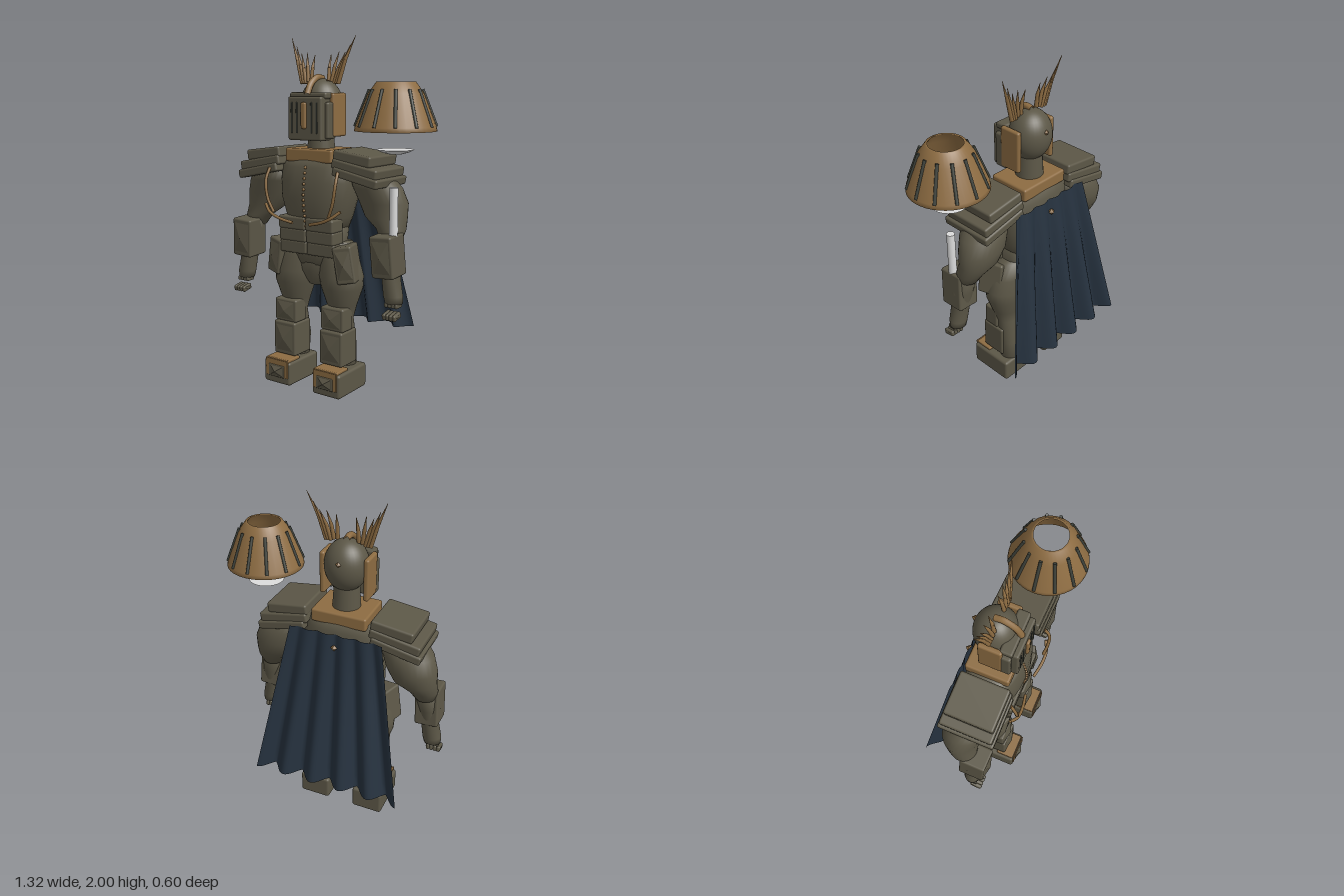
import * as THREE from 'three';
import { RoundedBoxGeometry } from 'three/addons/geometries/RoundedBoxGeometry.js';

const mat = (name, color, double) => {
  const m = new THREE.MeshStandardMaterial({ color });
  m.name = name;
  if (double) m.side = THREE.DoubleSide;
  return m;
};
const V = (x, y, z) => new THREE.Vector3(x, y, z);

// Closed skin through elliptical rings [y, cx, cz, rx, rz], listed bottom to top; e < 1 squares the section
function loft(rings, e = 1, n = 28) {
  const pos = [], idx = [];
  const pw = v => Math.sign(v) * Math.abs(v) ** e;
  for (const [y, cx, cz, rx, rz] of rings)
    for (let j = 0; j < n; j++) {
      const a = j / n * Math.PI * 2;
      pos.push(cx + rx * pw(Math.cos(a)), y, cz + rz * pw(Math.sin(a)));
    }
  const last = rings.length - 1, cb = rings.length * n, ct = cb + 1;
  for (const [y, cx, cz] of [rings[0], rings[last]]) pos.push(cx, y, cz);
  for (let j = 0; j < n; j++) {
    const k = (j + 1) % n;
    for (let i = 0; i < last; i++) {
      const a = i * n + j, b = i * n + k;
      idx.push(a, a + n, b, b, a + n, b + n);
    }
    idx.push(cb, j, k, ct, last * n + k, last * n + j);
  }
  const g = new THREE.BufferGeometry();
  g.setAttribute('position', new THREE.Float32BufferAttribute(pos, 3));
  g.setIndex(idx);
  g.computeVertexNormals();
  return g;
}

export function createModel() {
  const steel = mat('olive steel', 0x5c5747), gold = mat('old gold', 0x8d6c42, true);
  const cloth = mat('navy cloth', 0x26323f, true), dark = mat('dark iron', 0x3b3f38);
  const white = mat('pale white', 0xdcdcdc, true);
  const model = new THREE.Group(), body = new THREE.Group();
  body.name = 'body';
  body.position.x = -0.085;
  model.add(body);

  const add = (name, geo, m, p = [0, 0, 0], r = [0, 0, 0], parent = body) => {
    const o = new THREE.Mesh(geo, m);
    o.name = name;
    o.position.set(...p);
    o.rotation.set(...r);
    parent.add(o);
    return o;
  };
  const box = (name, m, size, p, r, rad = 0.012) =>
    add(name, new RoundedBoxGeometry(...size, 2, Math.min(rad, Math.min(...size) * 0.45)), m, p, r);
  // Straight round bar between two points
  const bar = (name, m, a, b, r0, r1 = r0, parent = body) => {
    const d = b.clone().sub(a);
    const o = add(name, new THREE.CylinderGeometry(r1, r0, d.length(), 10), m, a.clone().add(b).multiplyScalar(0.5).toArray(), [0, 0, 0], parent);
    o.quaternion.setFromUnitVectors(V(0, 1, 0), d.normalize());
  };
  const tube = (name, m, pts, r) =>
    add(name, new THREE.TubeGeometry(new THREE.CatmullRomCurve3(pts.map(p => V(...p))), 16, r, 8), m);
  // Armour block with a low faceted point on its front
  const guard = (name, size, p, r) => {
    const o = box(name, steel, size, p, r);
    const c = new THREE.ConeGeometry(Math.SQRT1_2, 0.02, 4, 1, true).toNonIndexed();
    c.rotateY(Math.PI / 4).rotateX(Math.PI / 2).scale(size[0] * 0.85, size[1] * 0.85, 1);
    c.computeVertexNormals();
    add(name + 'Point', c, steel, [0, 0, size[2] / 2 + 0.008], [0, 0, 0], o);
  };

  // Torso
  add('chest', loft([[0.92, 0, 0.03, 0.17, 0.12], [1.0, 0, 0.03, 0.2, 0.14], [1.1, 0, 0.03, 0.23, 0.155],
    [1.2, 0, 0.025, 0.24, 0.155], [1.28, 0, 0.02, 0.235, 0.145], [1.33, 0, 0.02, 0.2, 0.12]], 0.8), steel);
  add('waist', loft([[0.72, 0, 0.03, 0.13, 0.1], [0.8, 0, 0.04, 0.17, 0.11], [0.97, 0, 0.03, 0.18, 0.12]], 0.8), steel);
  for (const s of [-1, 1])
    for (let i = 0; i < 3; i++)
      box('bellyPlate', steel, [0.188, 0.075, 0.11], [s * 0.095, 0.822 + i * 0.07, 0.11 + i * 0.006]);
  for (let i = 0; i < 12; i++)
    add('chestStud', new THREE.SphereGeometry(0.009, 8, 6), gold, [0, 0.95 + i * 0.03, 0.165 + 0.022 * Math.sin(i / 11 * Math.PI)]);
  add('pelvis', loft([[0.6, 0, 0.04, 0.05, 0.06], [0.68, 0, 0.04, 0.13, 0.09], [0.82, 0, 0.04, 0.18, 0.1]]), steel);

  // Collar and neck
  box('collar', gold, [0.32, 0.075, 0.25], [0, 1.345, 0.02]);
  add('neck', new THREE.CylinderGeometry(0.07, 0.08, 0.16, 24), steel, [0, 1.44, 0.015]);

  // Helmet
  add('helmet', new THREE.SphereGeometry(1, 32, 24), steel, [0, 1.625, 0.01]).scale.set(0.122, 0.145, 0.118);
  tube('crest', gold, [[0, 1.77, 0.0], [0, 1.775, 0.05], [0, 1.74, 0.11], [0, 1.68, 0.145]], 0.018);
  box('facePlate', steel, [0.23, 0.24, 0.1], [0, 1.55, 0.125]);
  box('brow', steel, [0.25, 0.035, 0.07], [0, 1.675, 0.11]);
  box('noseGuard', gold, [0.034, 0.145, 0.024], [0, 1.567, 0.178]);
  add('helmetPin', new THREE.OctahedronGeometry(0.016), gold, [0, 1.67, -0.104]);
  add('capePin', new THREE.OctahedronGeometry(0.02), gold, [0, 1.2, -0.155]);

  for (const s of [-1, 1]) {
    box('earGuard', gold, [0.03, 0.24, 0.13], [s * 0.126, 1.57, 0.03]);
    box('cheek', steel, [0.03, 0.2, 0.08], [s * 0.122, 1.54, 0.1]);
    for (const x of [0.05, 0.085]) box('visorSlit', dark, [0.01, 0.17, 0.008], [s * x, 1.555, 0.176]);

    // Horn spikes: base x, base y, tip x, tip y
    for (const [bx, by, tx, ty] of [[0.125, 1.74, 0.22, 2.0], [0.112, 1.74, 0.185, 1.95], [0.097, 1.74, 0.15, 1.91],
      [0.08, 1.75, 0.11, 1.915], [0.06, 1.755, 0.055, 1.9]]) {
      const mid = V(s * (bx + (tx - bx) * 0.42), (by + ty) / 2, 0.015);
      bar('hornBase', gold, V(s * bx, by, 0.025), mid, 0.012, 0.01);
      bar('hornTip', gold, mid, V(s * tx, ty, -0.005), 0.01, 0.001);
    }

    // Curved chest trim
    tube('chestTrim', gold, [[s * 0.235, 1.27, 0.19], [s * 0.24, 1.2, 0.22], [s * 0.225, 1.1, 0.225], [s * 0.19, 1.02, 0.215]], 0.009);
    tube('lowerTrim', gold, [[s * 0.26, 1.06, 0.2], [s * 0.21, 1.02, 0.225], [s * 0.14, 0.99, 0.225], [s * 0.06, 0.97, 0.21]], 0.009);

    // Layered shoulder plates
    const tilt = -s * 0.13;
    box('shoulderPlate', steel, [0.24, 0.06, 0.28], [s * 0.305, 1.345, 0.03], [0, 0, tilt]);
    box('shoulderPlate', steel, [0.29, 0.055, 0.3], [s * 0.325, 1.29, 0.03], [0, 0, tilt * 1.4]);
    box('shoulderPlate', steel, [0.29, 0.05, 0.32], [s * 0.335, 1.245, 0.03], [0, 0, tilt * 1.6]);

    // Arm
    add('upperArm', loft([[0.9, s * 0.475, 0.03, 0.06, 0.06], [0.96, s * 0.465, 0.01, 0.085, 0.075], [1.02, s * 0.42, -0.01, 0.125, 0.095],
      [1.1, s * 0.4, -0.015, 0.145, 0.11], [1.18, s * 0.37, 0, 0.145, 0.115], [1.26, s * 0.33, 0.02, 0.12, 0.1]]), steel);
    add('forearm', loft([[0.57, s * 0.525, 0.075, 0.05, 0.045], [0.61, s * 0.52, 0.075, 0.055, 0.05], [0.7, s * 0.505, 0.07, 0.05, 0.055],
      [0.82, s * 0.495, 0.06, 0.065, 0.065], [0.93, s * 0.475, 0.04, 0.065, 0.065]]), steel);
    guard('forearmGuard', [0.135, 0.23, 0.15], [s * 0.49, 0.83, 0.085], [0.05, 0, s * 0.06]);
    for (let i = 0; i < 4; i++) {
      box('wristJoint', steel, [0.02, 0.025, 0.06], [s * (0.495 + i * 0.021), 0.56, 0.085], undefined, 0.008);
      box('finger', steel, [0.022, 0.035, 0.07], [s * (0.5 + i * 0.021), 0.507, 0.11], [0.2, 0, 0], 0.009);
    }
    box('knuckles', steel, [0.092, 0.016, 0.04], [s * 0.53, 0.508, 0.11], undefined, 0.006);

    // Leg
    add('leg', loft([[0.13, s * 0.17, 0.01, 0.06, 0.06], [0.26, s * 0.165, 0.01, 0.065, 0.065], [0.42, s * 0.165, 0.04, 0.065, 0.062],
      [0.5, s * 0.165, 0.045, 0.09, 0.08], [0.6, s * 0.165, 0.045, 0.125, 0.11], [0.67, s * 0.16, 0.045, 0.135, 0.112],
      [0.76, s * 0.145, 0.04, 0.12, 0.1], [0.86, s * 0.12, 0.035, 0.1, 0.085]]), steel);
    guard('hipPlate', [0.11, 0.21, 0.15], [s * 0.225, 0.75, 0.08], [0, s * 0.3, s * 0.16]);
    guard('kneeGuard', [0.155, 0.135, 0.1], [s * 0.165, 0.43, 0.1]);
    guard('shinGuard', [0.155, 0.2, 0.155], [s * 0.165, 0.262, 0.085]);

    // Boot with gold toe frame
    box('boot', steel, [0.19, 0.14, 0.28], [s * 0.175, 0.07, 0.085], undefined, 0.016);
    box('toeCap', gold, [0.16, 0.022, 0.11], [s * 0.172, 0.143, 0.165], undefined, 0.006);
    box('toeFrame', gold, [0.16, 0.105, 0.008], [s * 0.172, 0.097, 0.227], undefined, 0.003);
    guard('toePanel', [0.115, 0.075, 0.012], [s * 0.172, 0.08, 0.228]);
  }

  // Pleated cape: widens and deepens towards the hem
  const cape = new THREE.PlaneGeometry(1, 1, 60, 12), p = cape.attributes.position;
  for (let i = 0; i < p.count; i++) {
    const u = p.getX(i), t = 0.5 - p.getY(i);
    const fold = Math.abs(Math.cos((u + 0.5) * 5 * Math.PI)) ** 1.3;
    p.setXYZ(i, u * (0.54 + 0.35 * t), 1.27 - 0.945 * t, -0.13 - 0.085 * t - fold * (0.015 + 0.07 * t));
  }
  cape.computeVertexNormals();
  add('cape', cape, cloth);

  // Hanging lamp beside the figure
  const lamp = new THREE.Group();
  lamp.name = 'lamp';
  lamp.position.set(0.442, 0, 0.083);
  model.add(lamp);
  const lathe = pts => new THREE.LatheGeometry(pts.map(q => new THREE.Vector2(...q)), 40);
  add('lampShade', lathe([[0.205, 1.497], [0.217, 1.497], [0.212, 1.52], [0.145, 1.69], [0.102, 1.75], [0.09, 1.75]]), gold, undefined, undefined, lamp);
  add('shadeLining', lathe([[0.205, 1.497], [0.13, 1.69], [0.09, 1.75]]), gold, undefined, undefined, lamp);
  for (let i = 0; i < 12; i++) {
    const a = i / 12 * Math.PI * 2, c = Math.cos(a), d = Math.sin(a);
    bar('shadeRib', dark, V(c * 0.137, 1.71, d * 0.137), V(c * 0.212, 1.52, d * 0.212), 0.009, 0.009, lamp);
  }
  add('lampBowl', lathe([[0.001, 1.373], [0.04, 1.377], [0.075, 1.387], [0.1, 1.4]]), white, undefined, undefined, lamp);
  add('bowlTop', new THREE.CircleGeometry(0.1, 40), white, [0, 1.4, 0], [-Math.PI / 2, 0, 0], lamp);
  add('lampRod', new THREE.CylinderGeometry(0.023, 0.023, 0.26, 20), white, [0, 1.07, 0.008], undefined, lamp);
  return model;
}
